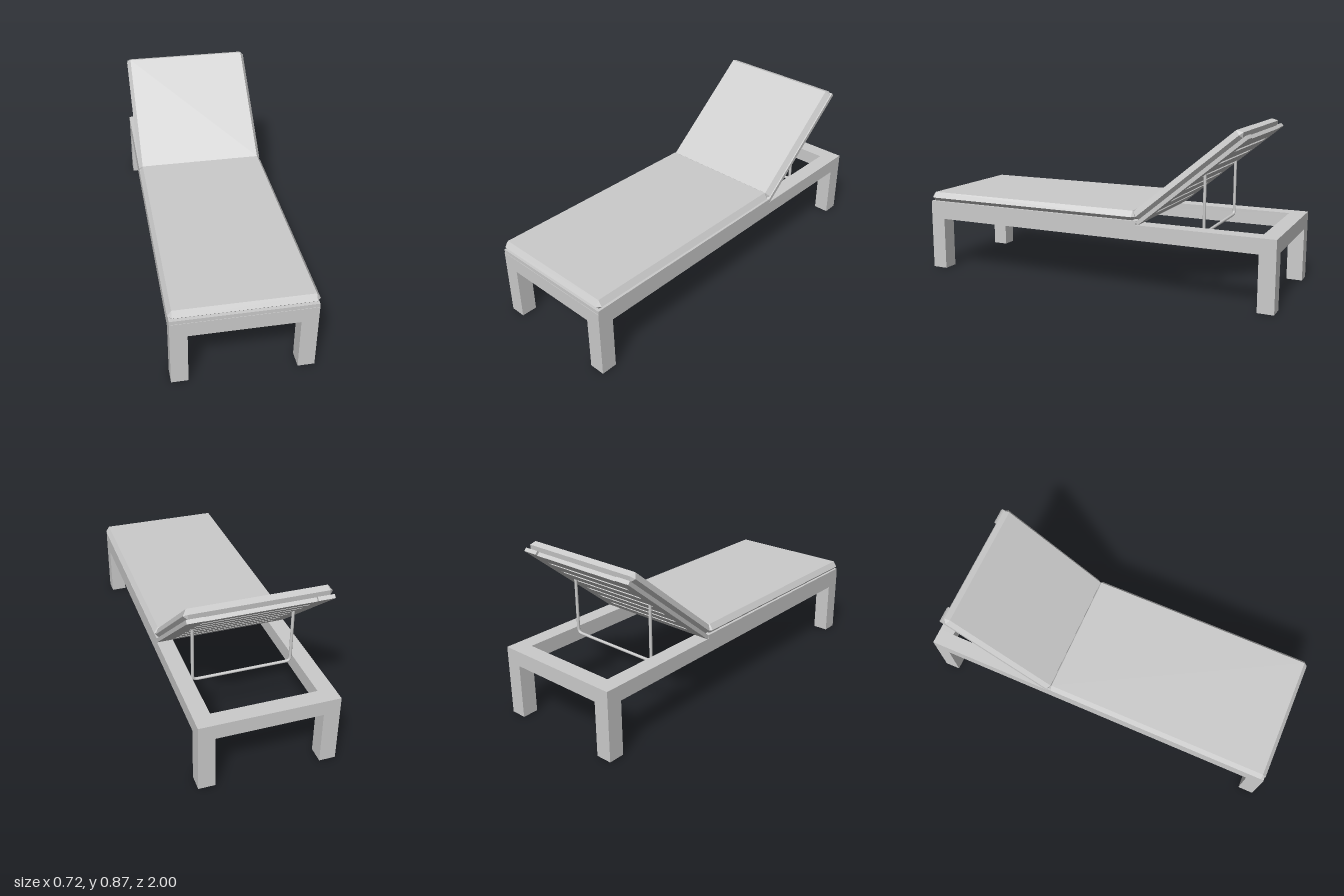
import * as THREE from 'three';
import { ConvexGeometry } from 'three/addons/geometries/ConvexGeometry.js';

const material = new THREE.MeshStandardMaterial({ color: 0xcccccc });

function add(parent, name, geometry) {
  const mesh = new THREE.Mesh(geometry, material);
  mesh.name = name;
  parent.add(mesh);
  return mesh;
}

// Box given by its lower and upper bounds on each axis
function box(parent, name, [x0, x1], [y0, y1], [z0, z1]) {
  const mesh = add(parent, name, new THREE.BoxGeometry(x1 - x0, y1 - y0, z1 - z0));
  mesh.position.set((x0 + x1) / 2, (y0 + y1) / 2, (z0 + z1) / 2);
  return mesh;
}

// Cushion with bevelled edges and clipped corners
function cushion(parent, name, y, z0, z1) {
  const half = 0.36, b = 0.02, points = [];
  for (const sx of [-1, 1]) {
    for (const [end, inward] of [[z0, 1], [z1, -1]]) {
      const xIn = sx * (half - b), zIn = end + inward * b;
      points.push(
        new THREE.Vector3(xIn, y, zIn),
        new THREE.Vector3(xIn, y + 0.02, end),
        new THREE.Vector3(sx * half, y + 0.02, zIn),
        new THREE.Vector3(xIn, y + 0.05, zIn)
      );
    }
  }
  add(parent, name, new ConvexGeometry(points));
}

// Slatted panel: two side boards joined by evenly spaced cross slats
function slattedPanel(parent, name, y, z0, z1, count, trim) {
  const panel = new THREE.Group();
  panel.name = name;
  parent.add(panel);
  const ys = [y, y + 0.02], gap = 0.025;
  box(panel, 'rightSideBoard', [-0.355, -0.27], ys, [z0, z1]);
  box(panel, 'leftSideBoard', [0.27, 0.355], ys, [z0, z1]);
  const start = z0 + trim;
  const width = (z1 - start - gap * (count - 1)) / count;
  for (let i = 0; i < count; i++) {
    const z = start + i * (width + gap);
    box(panel, 'slat', [-0.27, 0.27], ys, [z, z + width]);
  }
}

export function createModel() {
  const model = new THREE.Group();
  model.name = 'sunLounger';

  // Base frame: side rails, end rails and legs
  const X = 0.355, T = 0.085, railY = [0.29, 0.37];
  for (const s of [-1, 1]) {
    const xs = s > 0 ? [X - T, X] : [-X, -X + T];
    box(model, 'sideRail', xs, railY, [-1, 1]);
    box(model, 'endRail', [-X + T, X - T], railY, s > 0 ? [1 - T, 1] : [-1, -1 + T]);
    for (const zs of [[1 - T, 1], [-1, -1 + T]]) box(model, 'leg', xs, [0, 0.29], zs);
  }

  // Flat seat
  slattedPanel(model, 'seatSlats', 0.37, -0.28, 0.998, 12, 0);
  cushion(model, 'seatCushion', 0.39, -0.275, 1);

  // Raised backrest, hinged at the rear of the seat
  const back = new THREE.Group();
  back.name = 'backrest';
  back.position.set(0, 0.37, -0.29);
  back.rotation.x = 0.695;
  model.add(back);
  slattedPanel(back, 'backSlats', 0, -0.724, 0, 7, 0.012);
  cushion(back, 'backCushion', 0.02, -0.722, 0);

  // U-shaped support rod with rounded lower corners
  const x = 0.26, low = 0.34, r = 0.025, z = -0.61;
  const p = (px, py) => new THREE.Vector3(px, py, z);
  const path = new THREE.CurvePath();
  path.add(new THREE.LineCurve3(p(-x, 0.645), p(-x, low + r)));
  path.add(new THREE.QuadraticBezierCurve3(p(-x, low + r), p(-x, low), p(-x + r, low)));
  path.add(new THREE.LineCurve3(p(-x + r, low), p(x - r, low)));
  path.add(new THREE.QuadraticBezierCurve3(p(x - r, low), p(x, low), p(x, low + r)));
  path.add(new THREE.LineCurve3(p(x, low + r), p(x, 0.645)));
  add(model, 'supportRod', new THREE.TubeGeometry(path, 120, 0.008, 10, false));

  return model;
}
